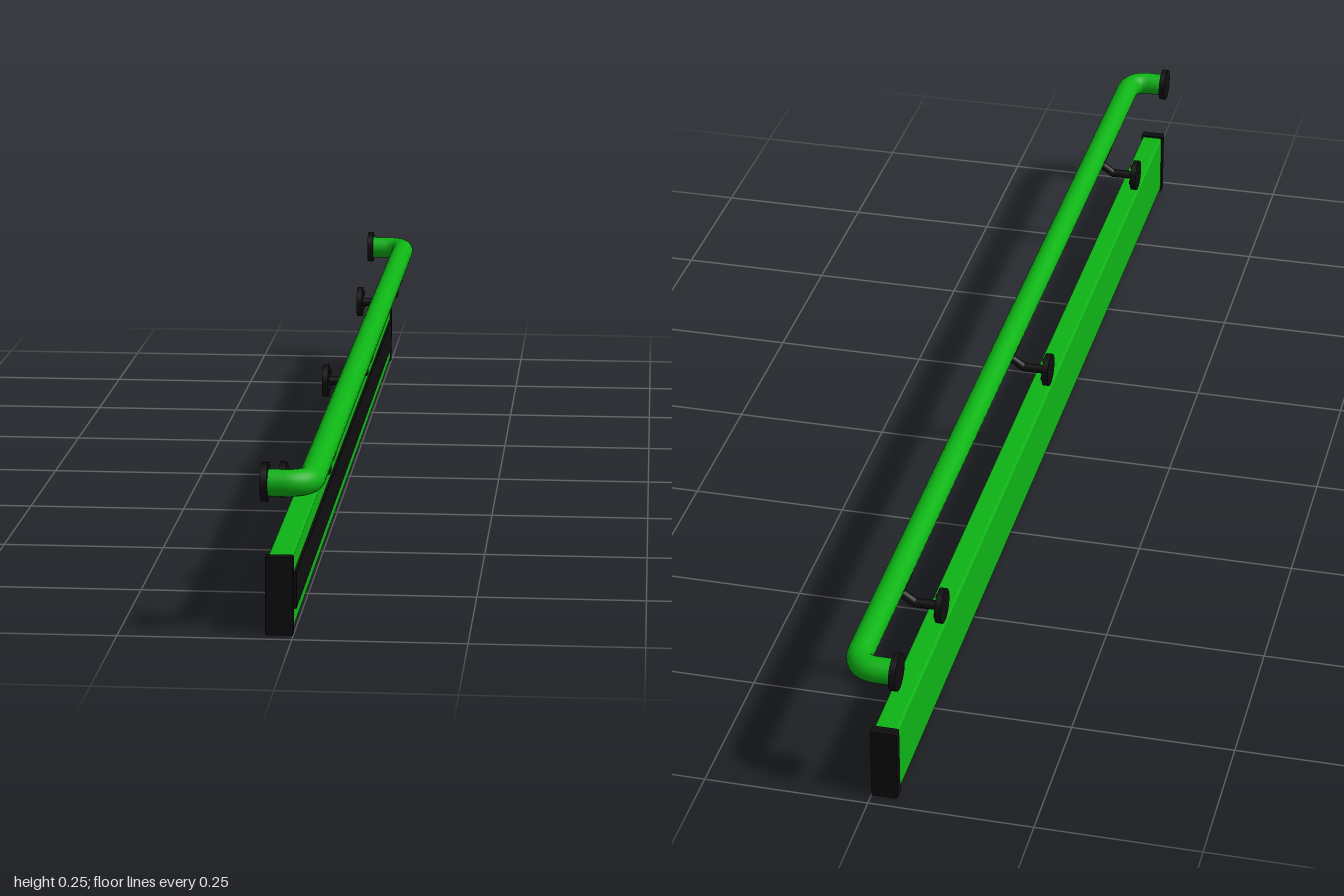
import * as THREE from 'three';

export function createModel() {
  const model = new THREE.Group();
  const green = new THREE.MeshStandardMaterial({ color: 0x0eb416 });
  green.name = 'green';
  const black = new THREE.MeshStandardMaterial({ color: 0x0e0e0e });
  black.name = 'black';

  const V = (x, y, z) => new THREE.Vector3(x, y, z);

  function add(parent, name, geometry, material, x = 0, y = 0, z = 0) {
    const mesh = new THREE.Mesh(geometry, material);
    mesh.name = name;
    mesh.position.set(x, y, z);
    parent.add(mesh);
    return mesh;
  }

  const pipe = (parent, name, curve, segments, radius, material) =>
    add(parent, name, new THREE.TubeGeometry(curve, segments, radius, 24), material);

  // Round plate whose axis points along x
  function disc(parent, name, radius, thickness, x, y, z, sides = 32) {
    const geo = new THREE.CylinderGeometry(radius, radius, thickness, sides).rotateZ(Math.PI / 2);
    return add(parent, name, geo, black, x, y, z);
  }

  // Bar of bevelled rectangular section, running along z
  function bar(name, x0, x1, y0, y1, z0, z1, bevel, material) {
    const s = new THREE.Shape();
    s.moveTo(x0 + bevel, y0);
    s.lineTo(x1 - bevel, y0);
    s.quadraticCurveTo(x1, y0, x1, y0 + bevel);
    s.lineTo(x1, y1 - bevel);
    s.quadraticCurveTo(x1, y1, x1 - bevel, y1);
    s.lineTo(x0 + bevel, y1);
    s.quadraticCurveTo(x0, y1, x0, y1 - bevel);
    s.lineTo(x0, y0 + bevel);
    s.quadraticCurveTo(x0, y0, x0 + bevel, y0);
    const geo = new THREE.ExtrudeGeometry(s, { depth: z1 - z0, bevelEnabled: false, curveSegments: 3 });
    return add(model, name, geo, material, 0, 0, z0);
  }

  // Handrail: long pipe, with a bend back to the wall at each end
  const railX = 0.0235, railY = 0.2215, railR = 0.0195, endZ = 0.972, bendZ = 0.93;
  const rail = new THREE.Group();
  rail.name = 'handrail';
  model.add(rail);
  pipe(rail, 'railPipe', new THREE.LineCurve3(V(railX, railY, -bendZ), V(railX, railY, bendZ)), 1, railR, green);
  for (const s of [-1, 1]) {
    const bend = new THREE.QuadraticBezierCurve3(
      V(railX, railY, s * bendZ), V(railX, railY, s * endZ), V(-0.012, railY, s * endZ));
    pipe(rail, 'railBend', bend, 10, railR, green);
    pipe(rail, 'railReturn',
      new THREE.LineCurve3(V(-0.012, railY, s * endZ), V(-0.038, railY, s * endZ)), 1, railR, green);
    disc(rail, 'railEndFlange', 0.028, 0.01, -0.04, railY + 0.001, s * endZ);
  }

  // Wall brackets under the rail
  const armR = 0.0072;
  const armPoints = [V(-0.037, 0.1635, 0), V(0.0015, 0.1635, 0), V(0.024, 0.179, 0), V(0.024, 0.203, 0)];
  for (const z of [-0.712, 0, 0.712]) {
    const bracket = new THREE.Group();
    bracket.name = 'wallBracket';
    bracket.position.z = z;
    model.add(bracket);
    disc(bracket, 'wallPlate', 0.027, 0.01, -0.04, 0.164, 0);
    for (let i = 0; i < 3; i++) {
      const a = Math.PI / 2 + i * Math.PI * 2 / 3;
      disc(bracket, 'screw', 0.004, 0.004, -0.0335,
        0.1635 + 0.0165 * Math.sin(a), 0.0165 * Math.cos(a), 12);
    }
    for (let i = 0; i < 3; i++) {
      pipe(bracket, 'arm', new THREE.LineCurve3(armPoints[i], armPoints[i + 1]), 1, armR, black);
      if (i > 0) {
        const p = armPoints[i];
        add(bracket, 'armElbow', new THREE.SphereGeometry(armR, 20, 12), black, p.x, p.y, p.z);
      }
    }
    add(bracket, 'saddle', new THREE.BoxGeometry(0.027, 0.005, 0.05), black, railX, 0.2025, 0);
  }

  // Wall guard below: green body, dark inset strip and end caps
  bar('guardBody', -0.038, -0.002, 0.003, 0.112, -0.966, 0.966, 0.004, green);
  bar('guardStrip', -0.008, 0.002, 0.031, 0.085, -0.95, 0.95, 0.001, black);
  for (const s of [-1, 1]) {
    bar('endCap', -0.04, 0, 0, 0.115, s * 0.972 - 0.008, s * 0.972 + 0.008, 0.002, black);
  }

  return model;
}
